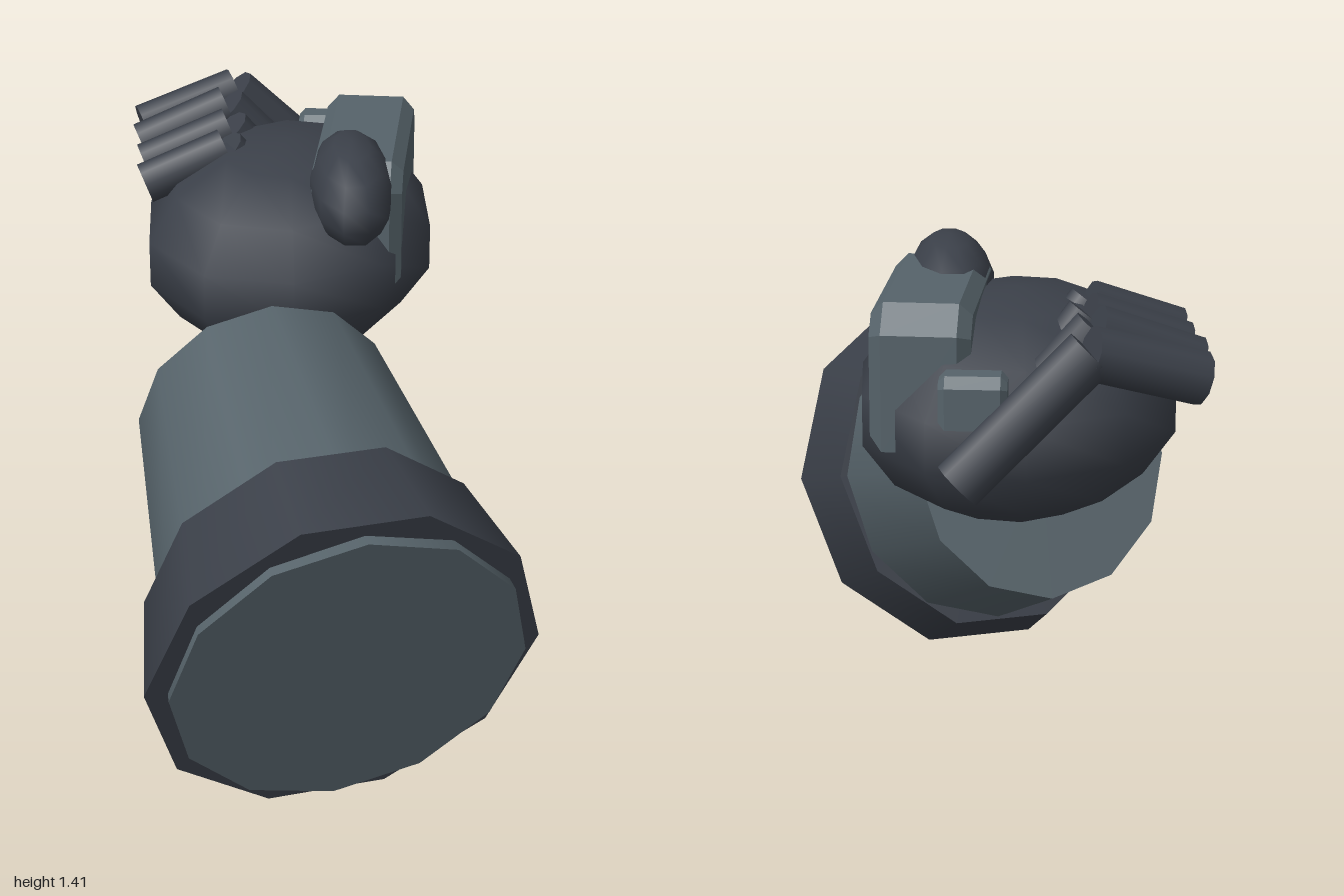
import * as THREE from 'three';

const V = (x, y, z) => new THREE.Vector3(x, y, z);

export function createModel() {
  const model = new THREE.Group();
  model.name = 'glovedForearm';

  const glove = new THREE.MeshStandardMaterial({ color: 0x3b4049 });
  glove.name = 'dark glove';
  const slate = new THREE.MeshStandardMaterial({ color: 0x56636a });
  slate.name = 'slate grey';

  const add = (name, geometry, material, parent = model) => {
    const mesh = new THREE.Mesh(geometry, material);
    mesh.name = name;
    parent.add(mesh);
    return mesh;
  };

  // Tapered tube between two points; its local z stays as upright as possible
  const tube = (name, from, to, r0, r1, sides, material, { start = 0, tall = 1, parent = model } = {}) => {
    const axis = to.clone().sub(from);
    const geometry = new THREE.CylinderGeometry(r1, r0, axis.length(), sides, 1, false, start);
    geometry.scale(1, 1, tall);
    axis.normalize();
    const side = V(0, 1, 0).cross(axis).normalize();
    const up = side.clone().cross(axis);
    const mesh = add(name, geometry, material, parent);
    mesh.quaternion.setFromRotationMatrix(new THREE.Matrix4().makeBasis(side, axis, up));
    mesh.position.copy(from).add(to).multiplyScalar(0.5);
    return mesh;
  };

  // Squashed sphere
  const ellipsoid = (name, centre, radii, yaw, sides, rings) => {
    const geometry = new THREE.SphereGeometry(1, sides, rings);
    geometry.scale(...radii);
    const mesh = add(name, geometry, glove);
    mesh.position.copy(centre);
    mesh.rotation.y = yaw;
    return mesh;
  };

  // Block with chamfered upper corners and bevelled sides, extruded along x
  const armourBlock = (name, centre, width, height, depth, chamfer, bevel, yaw) => {
    const d = depth / 2 - bevel, h = height / 2 - bevel;
    const shape = new THREE.Shape();
    shape.moveTo(-d, -h);
    shape.lineTo(d, -h);
    shape.lineTo(d, h - chamfer);
    shape.lineTo(d - chamfer, h);
    shape.lineTo(-d + chamfer, h);
    shape.lineTo(-d, h - chamfer);
    shape.closePath();
    const geometry = new THREE.ExtrudeGeometry(shape, {
      depth: width - 2 * bevel, bevelEnabled: true,
      bevelSize: bevel, bevelThickness: bevel, bevelSegments: 1,
    });
    geometry.translate(0, 0, bevel - width / 2);
    geometry.rotateY(Math.PI / 2);
    const mesh = add(name, geometry, slate);
    mesh.position.copy(centre);
    mesh.rotation.y = yaw;
  };

  // Sleeve and the cuff around its open end
  tube('sleeve', V(-0.155, 0.755, -0.02), V(0.11, 0.468, 0.8), 0.33, 0.44, 12, slate, { tall: 1.075 });
  tube('cuff', V(0.012, 0.567, 0.525), V(0.097, 0.479, 0.775), 0.43, 0.49, 10, glove,
    { start: Math.PI / 10, tall: 1.08 });

  // Fist and thumb
  ellipsoid('fist', V(-0.11, 1.06, -0.43), [0.395, 0.275, 0.475], -0.17, 10, 7);
  ellipsoid('thumb', V(0.065, 1.285, -0.23), [0.11, 0.128, 0.255], 0.1, 10, 7);

  // Curled fingers: tip, knuckle, root, radius
  const fingers = [
    ['littleFinger', V(-0.49, 1.22, -0.38), V(-0.28, 1.3, -0.44), V(-0.2, 1.2, -0.47), 0.055],
    ['ringFinger', V(-0.505, 1.22, -0.515), V(-0.28, 1.305, -0.575), V(-0.2, 1.2, -0.6), 0.057],
    ['middleFinger', V(-0.53, 1.22, -0.655), V(-0.3, 1.31, -0.72), V(-0.2, 1.2, -0.74), 0.06],
    ['indexFinger', V(-0.54, 1.22, -0.785), V(-0.29, 1.3, -0.875), V(0, 1.01, -0.945), 0.063],
  ];
  for (const [name, tip, knuckle, root, r] of fingers) {
    const finger = new THREE.Group();
    finger.name = name;
    model.add(finger);
    tube('fingerTip', knuckle, tip, r, r, 10, glove, { parent: finger });
    tube('fingerRoot', root, knuckle, r, r, 10, glove, { parent: finger });
  }

  // Armour on the back of the hand and by the index knuckle
  armourBlock('handPlate', V(0.09, 1.19, -0.46), 0.235, 0.34, 0.59, 0.045, 0.03, -0.04);
  armourBlock('knucklePlate', V(-0.03, 1.185, -0.86), 0.155, 0.12, 0.1, 0.015, 0.015, 0);

  return model;
}
